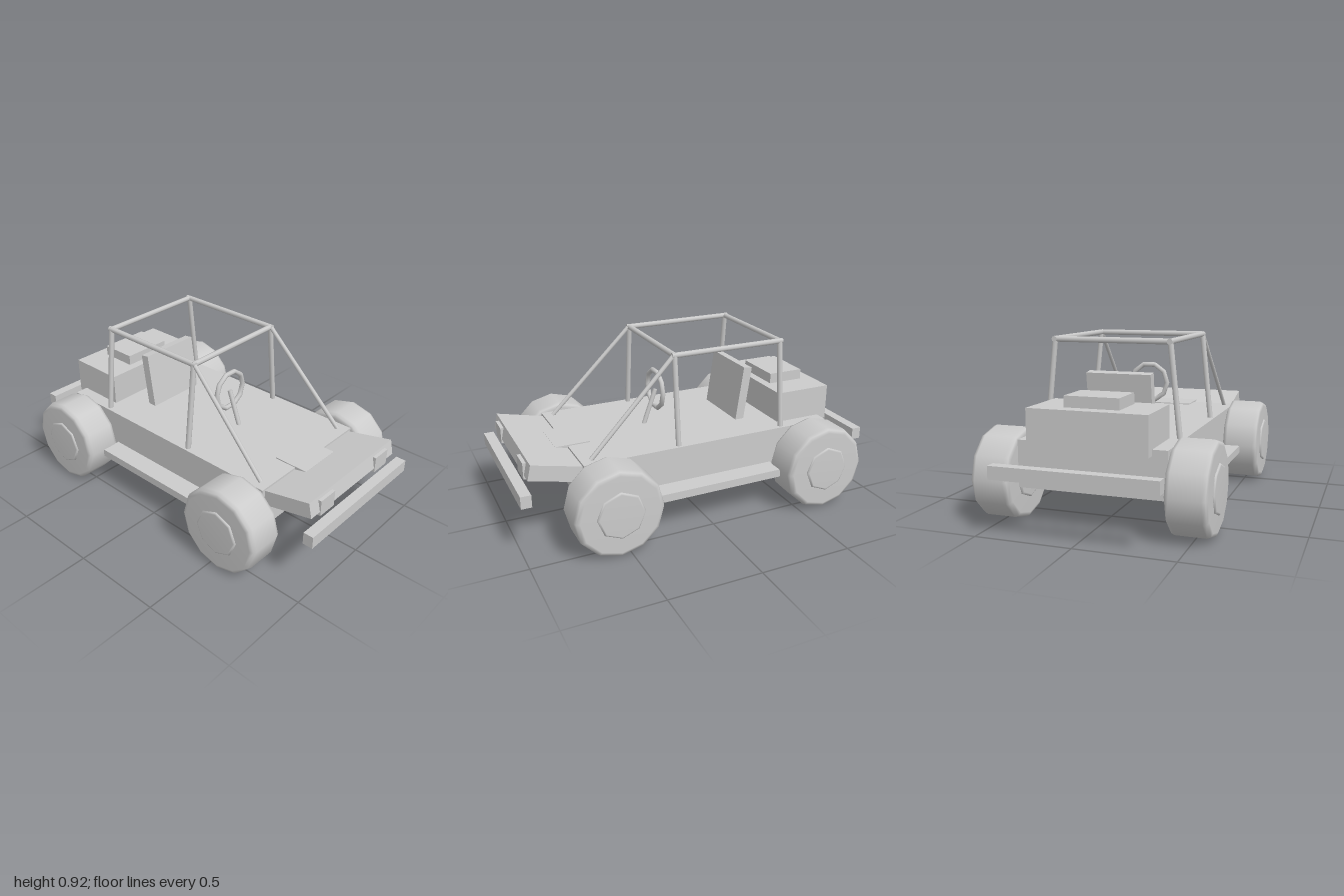
import * as THREE from 'three';

const grey = new THREE.MeshStandardMaterial({ color: 0xcccccc });

export function createModel() {
  const model = new THREE.Group();

  const add = (name, geometry) => {
    const mesh = new THREE.Mesh(geometry, grey);
    mesh.name = name;
    model.add(mesh);
    return mesh;
  };

  // box given by its size and centre, optionally pitched about x
  const box = (name, [w, h, d], [x, y, z], pitch = 0) => {
    const mesh = add(name, new THREE.BoxGeometry(w, h, d));
    mesh.position.set(x, y, z);
    mesh.rotation.x = pitch;
    return mesh;
  };

  // straight round bar between two points
  const bar = (name, a, b, radius = 0.015) => {
    const start = new THREE.Vector3(...a);
    const end = new THREE.Vector3(...b);
    const dir = end.clone().sub(start);
    const mesh = add(name, new THREE.CylinderGeometry(radius, radius, dir.length(), 8));
    mesh.position.copy(start).add(end).multiplyScalar(0.5);
    mesh.quaternion.setFromUnitVectors(new THREE.Vector3(0, 1, 0), dir.normalize());
    return mesh;
  };

  // solid disc along x with softly rounded rims
  const disc = (name, radius, width, bevel, sides, [x, y, z]) => {
    const h = width / 2;
    const profile = [
      [0, -h], [radius - bevel, -h], [radius - bevel * 0.3, -h + bevel * 0.3], [radius, -h + bevel],
      [radius, h - bevel], [radius - bevel * 0.3, h - bevel * 0.3], [radius - bevel, h], [0, h],
    ].map(([r, t]) => new THREE.Vector2(r, t));
    const mesh = add(name, new THREE.LatheGeometry(profile, sides));
    mesh.rotation.z = Math.PI / 2;
    mesh.position.set(x, y, z);
  };

  // body, nose and engine
  box('body', [0.77, 0.24, 1.435], [0, 0.31, -0.05]);
  box('nose', [0.73, 0.083, 0.36], [0, 0.398, 0.761], -0.224);
  box('nosePlate', [0.245, 0.025, 0.19], [0, 0.423, 0.64]);
  box('engineCover', [0.616, 0.2, 0.325], [0, 0.5, -0.661]);
  box('airIntake', [0.284, 0.06, 0.205], [0, 0.627, -0.648]);
  for (const end of [1, -1]) {
    box(end > 0 ? 'frontBumper' : 'rearBumper', [0.84, 0.066, 0.055], [0, 0.317, end * 0.9725]);
  }

  // seat back and steering
  box('seatBack', [0.354, 0.31, 0.05], [0, 0.577, -0.35], -0.145);
  const wheel = add('steeringWheel', new THREE.TorusGeometry(0.107, 0.014, 8, 10));
  wheel.position.set(0, 0.623, 0.115);
  bar('steeringColumn', [0, 0.4, 0.195], [0, 0.62, 0.115], 0.013);

  for (const side of [1, -1]) {
    const label = side > 0 ? 'left' : 'right';
    box(label + 'Headlight', [0.113, 0.087, 0.045], [side * 0.239, 0.419, 0.927]);
    box(label + 'SideStep', [0.13, 0.043, 0.74], [side * 0.43, 0.2135, -0.04]);

    // wheels and hubs
    for (const [place, z] of [['Front', 0.556], ['Rear', -0.642]]) {
      disc(label + place + 'Tire', 0.236, 0.205, 0.026, 12, [side * 0.493, 0.235, z]);
      disc(label + place + 'Hub', 0.128, 0.225, 0.012, 8, [side * 0.493, 0.235, z]);
    }

    // roll cage sides
    const top = side * 0.307;
    bar(label + 'FrontPost', [side * 0.36, 0.42, 0.14], [top, 0.905, 0.14]);
    bar(label + 'RearPost', [side * 0.36, 0.42, -0.485], [top, 0.905, -0.485]);
    bar(label + 'RoofRail', [top, 0.905, 0.155], [top, 0.905, -0.5]);
    bar(label + 'FrontBrace', [top, 0.905, 0.145], [side * 0.333, 0.43, 0.615], 0.012);
  }

  // roll cage cross bars
  bar('frontCrossBar', [-0.312, 0.905, 0.14], [0.312, 0.905, 0.14]);
  bar('rearCrossBar', [-0.312, 0.905, -0.485], [0.312, 0.905, -0.485]);

  return model;
}
